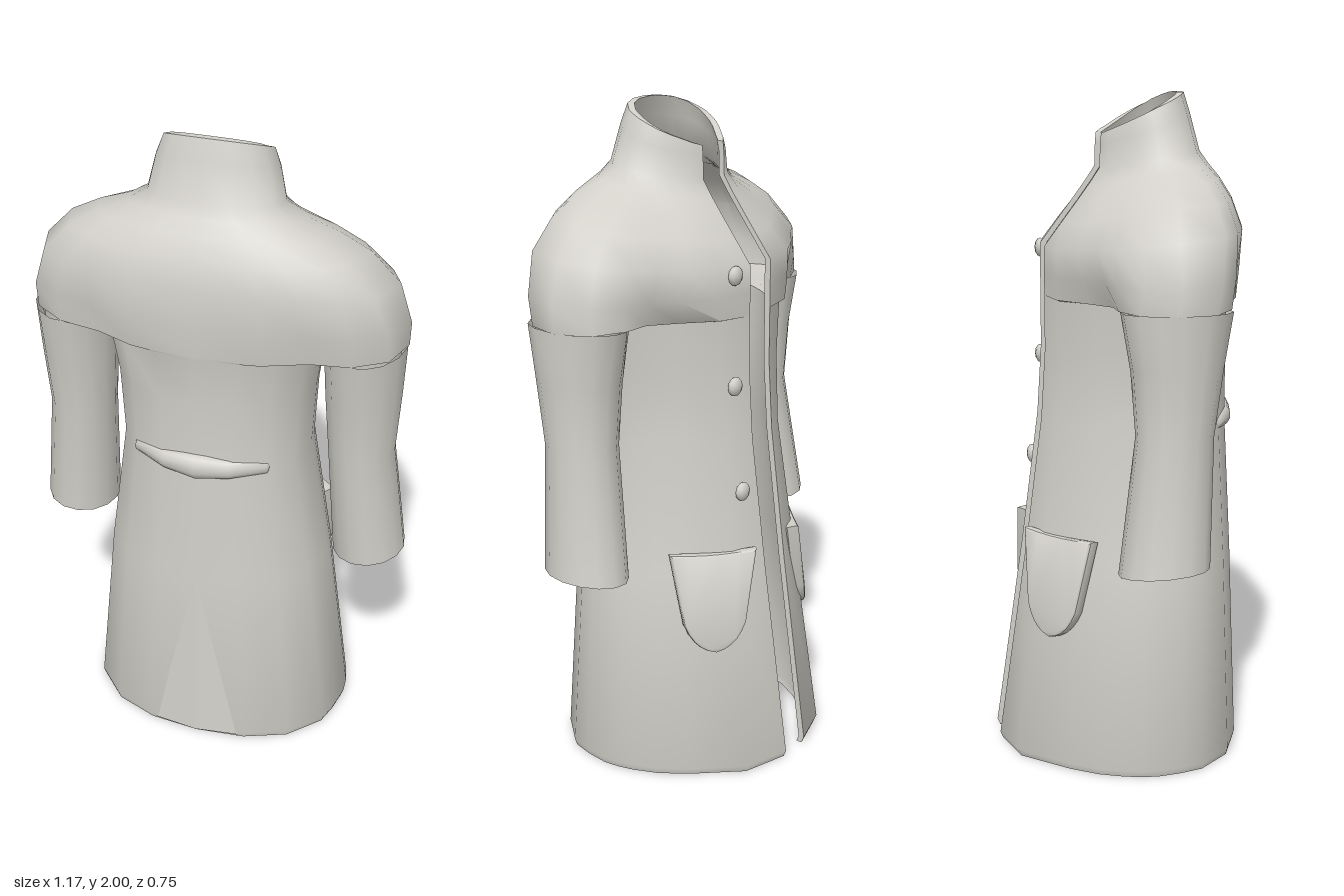
import * as THREE from 'three';
import { toCreasedNormals } from 'three/addons/utils/BufferGeometryUtils.js';

const V = (x, y, z) => new THREE.Vector3(x, y, z);
const lerp = THREE.MathUtils.lerp;

// Skin a list of closed rings; wall = true joins outer and inner halves at both ends
function loft(rings, wall = false, crease = 0.95) {
  const n = rings[0].length, pos = [], idx = [];
  rings.forEach(r => r.forEach(p => pos.push(p.x, p.y, p.z)));
  for (let r = 0; r < rings.length - 1; r++) {
    for (let i = 0; i < n; i++) {
      const j = (i + 1) % n, a = r * n, b = a + n;
      idx.push(a + i, b + i, b + j, a + i, b + j, a + j);
    }
  }
  if (wall) {
    const top = (rings.length - 1) * n;
    for (let i = 0; i < n / 2 - 1; i++) {
      const o = i, p = i + 1, q = n - 2 - i, s = n - 1 - i;
      idx.push(o, p, q, o, q, s, top + o, top + q, top + p, top + o, top + s, top + q);
    }
  }
  const g = new THREE.BufferGeometry();
  g.setAttribute('position', new THREE.Float32BufferAttribute(pos, 3));
  g.setIndex(idx);
  return toCreasedNormals(g, crease);
}

// Half cross-sections, front edge to centre back: [x / width, depth fraction]
const ARMHOLE = [[0, 0], [0.3, 0.04], [0.46, 0.18], [0.6, 0.288], [0.75, 0.292], [0.92, 0.37],
  [1, 0.55], [0.94, 0.745], [0.77, 0.855], [0.57, 0.885], [0.34, 0.975], [0, 1]];
const YOKE = [[0, 0], [0.34, 0.04], [0.52, 0.12], [0.64, 0.2], [0.78, 0.27], [0.92, 0.39],
  [1, 0.56], [0.92, 0.79], [0.76, 0.885], [0.56, 0.95], [0.36, 0.99], [0, 1]];
const BODY = [[0, 0], [0.48, 0.06], [0.76, 0.24], [0.89, 0.35], [0.96, 0.45], [0.99, 0.52],
  [1, 0.59], [0.97, 0.69], [0.92, 0.78], [0.7, 0.91], [0.38, 0.98], [0, 1]];
const SECTIONS = [ARMHOLE, YOKE, BODY, BODY];
const GAP = 0.052;

// One body ring: outer wall, then the inner wall back again; kind blends between sections
function bodyRing([kind, w, zf, zb, yf, ys, yb]) {
  const k = Math.floor(kind);
  const half = SECTIONS[k].map(([x0, t0], i) => {
    const [x1, t1] = SECTIONS[k + 1][i];
    const fx = lerp(x0, x1, kind - k), t = lerp(t0, t1, kind - k);
    const y = t < 0.55 ? lerp(yf, ys, t / 0.55) : lerp(ys, yb, (t - 0.55) / 0.45);
    return V(i === 0 ? GAP : fx * w, y, lerp(zf, zb, t));
  });
  const mirrored = half.slice(0, -1).reverse().map(p => V(-p.x, p.y, p.z));
  const outer = [...half, ...mirrored], last = outer.length - 1;
  const inner = outer.map((p, i) => {
    const d = outer[Math.min(i + 1, last)].clone().sub(outer[Math.max(i - 1, 0)]);
    const s = 0.02 / Math.hypot(d.x, d.z);
    const edge = i === 0 || i === last;
    return V(edge ? p.x : p.x - d.z * s, p.y, p.z + d.x * s);
  });
  return [...outer, ...inner.reverse()];
}

// Sleeve sections from the armhole down: outer x, y, inner x, y, front z, back z
const SLEEVE = [
  [0.558, 1.408, 0.32, 1.4, -0.056, 0.264],
  [0.552, 1.25, 0.328, 1.23, -0.027, 0.237],
  [0.54, 1.05, 0.34, 1.05, -0.012, 0.212],
  [0.583, 0.672, 0.362, 0.652, -0.066, 0.198]
];
const CUFF = SLEEVE.length - 1;

function sleeveRing(k, side, scale) {
  const [ox, oy, ix, iy, zf, zb] = SLEEVE[k], tilt = k === CUFF ? 0.008 : 0;
  return Array.from({ length: 14 }, (_, i) => {
    const a = i / 14 * Math.PI * 2, c = Math.cos(a) * scale, s = -side * Math.sin(a) * scale;
    return V(side * ((ox + ix) / 2 + c * (ox - ix) / 2),
      (oy + iy) / 2 + c * (oy - iy) / 2 + s * tilt, (zf + zb) / 2 + s * (zb - zf) / 2);
  });
}

export function createModel() {
  const group = new THREE.Group();
  const cloth = new THREE.MeshStandardMaterial({ color: 0xd2d0c9, side: THREE.DoubleSide });
  cloth.name = 'light grey cloth';
  const add = (name, geometry) => {
    const m = new THREE.Mesh(geometry, cloth);
    m.name = name;
    group.add(m);
    return m;
  };

  // Coat body, shoulders and collar: section, width, front z, back z, y at front, side and back
  const rows = [
    [2, 0.41, -0.367, 0.366, 0, 0, 0],
    [2, 0.417, -0.375, 0.371, 0.02, 0.02, 0.02],
    [2, 0.348, -0.288, 0.35, 0.62, 0.62, 0.62],
    [2, 0.287, -0.235, 0.332, 1.03, 1.03, 1.03],
    [2, 0.298, -0.222, 0.33, 1.24, 1.24, 1.24],
    [2, 0.322, -0.222, 0.345, 1.4, 1.4, 1.4],
    [0, 0.559, -0.222, 0.345, 1.405, 1.405, 1.405],
    [0.5, 0.562, -0.222, 0.348, 1.47, 1.48, 1.5],
    [1, 0.525, -0.222, 0.35, 1.55, 1.6, 1.62],
    [1, 0.44, -0.17, 0.325, 1.62, 1.69, 1.7],
    [1, 0.35, -0.125, 0.295, 1.68, 1.737, 1.755],
    [1.5, 0.255, -0.085, 0.268, 1.735, 1.772, 1.795],
    [2, 0.197, -0.055, 0.247, 1.78, 1.808, 1.83],
    [2, 0.175, -0.053, 0.218, 1.85, 1.9, 1.94],
    [2, 0.155, -0.05, 0.2, 1.88, 1.95, 2]
  ];
  add('coatBody', loft(rows.map(bodyRing), true));

  // Hollow sleeves, folded inwards at the cuff
  for (const side of [1, -1]) {
    const rings = SLEEVE.map((_, k) => sleeveRing(k, side, 1));
    for (let k = CUFF; k >= 0; k--) rings.push(sleeveRing(k, side, 0.86));
    add(side > 0 ? 'leftSleeve' : 'rightSleeve', loft(rings));
  }

  // Half belt across the waist
  const belt = [[-0.207, 0.006, 0.268], [-0.203, 0.02, 0.27], [-0.1, 0.032, 0.316], [0, 0.041, 0.334],
    [0.1, 0.032, 0.316], [0.203, 0.02, 0.27], [0.207, 0.006, 0.268]];
  add('halfBelt', loft(belt.map(([x, r, z]) => Array.from({ length: 10 }, (_, i) => {
    const a = i / 10 * Math.PI * 2;
    return V(x, 1.03 + r * Math.cos(a), z - Math.min(r, 0.026) * Math.sin(a));
  }))));

  // Pleat ridge running down to the hem
  const pleat = new THREE.BufferGeometry().setFromPoints([
    V(0, 0.62, 0.35), V(-0.14, 0.01, 0.358), V(0, 0.01, 0.375),
    V(0, 0.62, 0.35), V(0, 0.01, 0.375), V(0.14, 0.01, 0.358)]);
  pleat.computeVertexNormals();
  add('pleat', pleat);

  // Tapered patch pockets
  const shape = new THREE.Shape();
  shape.moveTo(-0.125, 0.143);
  shape.quadraticCurveTo(0, 0.128, 0.125, 0.143);
  shape.lineTo(0.088, -0.07);
  shape.quadraticCurveTo(0.06, -0.145, 0, -0.155);
  shape.quadraticCurveTo(-0.06, -0.145, -0.088, -0.07);
  shape.closePath();
  for (const side of [1, -1]) {
    const g = new THREE.ExtrudeGeometry(shape, { depth: 0.016, bevelThickness: 0.012,
      bevelSize: 0.008, bevelSegments: 2, curveSegments: 5 });
    const pocket = add(side > 0 ? 'leftPocket' : 'rightPocket', toCreasedNormals(g, 0.7));
    pocket.position.set(side * 0.21, 0.555, -0.206);
    pocket.lookAt(side * (0.21 + 0.66), 0.555 + 0.14, -0.206 - 0.74);
  }

  // Buttons down the left front
  for (const [y, z] of [[1.53, -0.214], [1.2, -0.216], [0.88, -0.246]]) {
    const button = add('button', new THREE.SphereGeometry(0.029, 10, 6));
    button.position.set(0.117, y, z);
    button.scale.z = 0.6;
  }
  return group;
}
